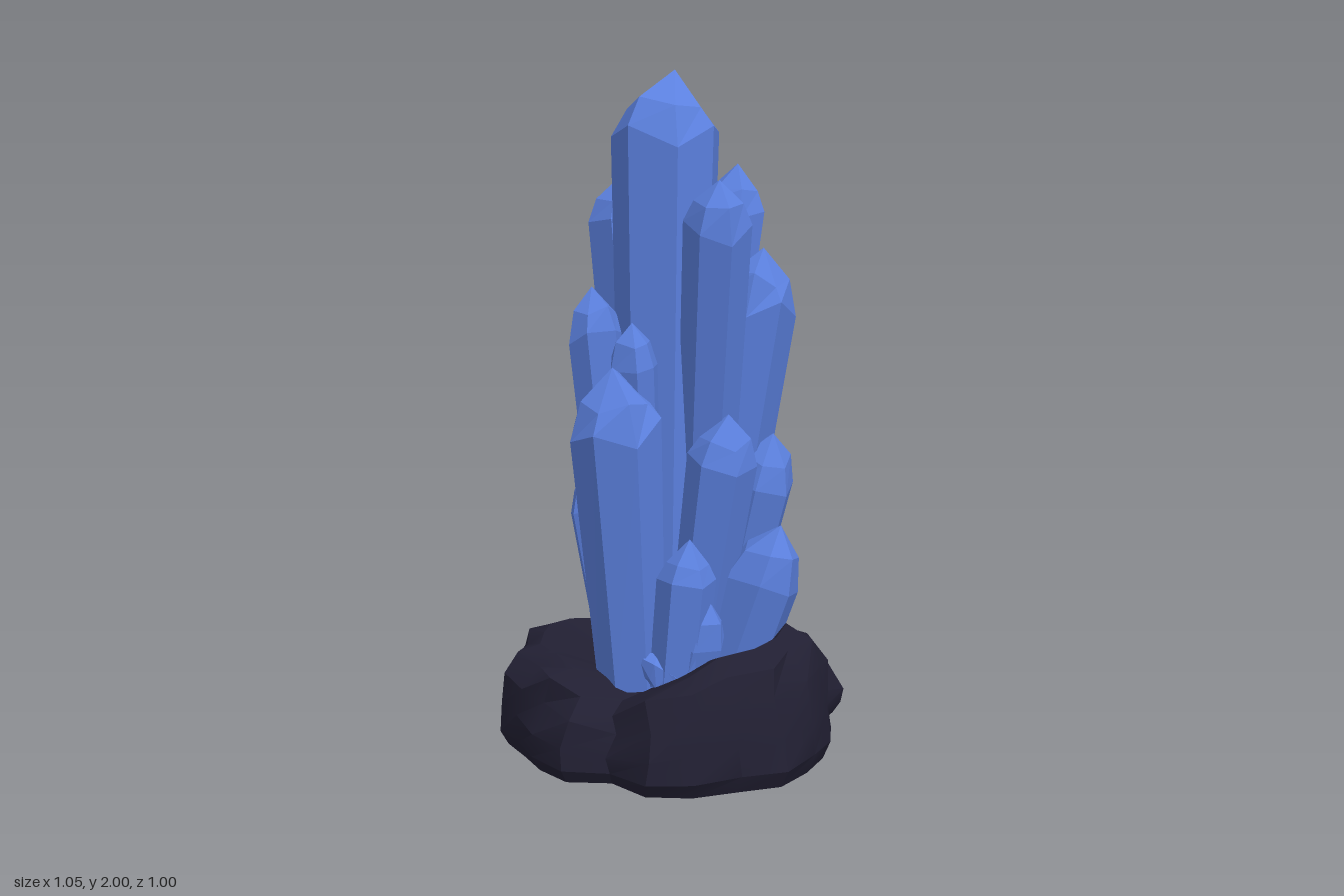
import * as THREE from 'three';
import { toCreasedNormals } from 'three/addons/utils/BufferGeometryUtils.js';

// Small seeded random in -1..1
function seeded(seed) {
  let s = seed * 7919 + 13;
  return () => {
    s = (s * 16807) % 2147483647;
    return (s / 2147483647) * 2 - 1;
  };
}

// Skin a stack of closed rings (counterclockwise about the stacking direction), closed by two end points
function loft(rings, start, end) {
  const pos = [];
  const tri = (a, b, c) => pos.push(...a.toArray(), ...b.toArray(), ...c.toArray());
  const n = rings[0].length;
  const last = rings[rings.length - 1];
  for (let i = 0; i < n; i++) {
    const j = (i + 1) % n;
    tri(start, rings[0][j], rings[0][i]);
    for (let k = 0; k + 1 < rings.length; k++) {
      const [p, q] = [rings[k], rings[k + 1]];
      tri(p[i], p[j], q[j]);
      tri(p[i], q[j], q[i]);
    }
    tri(last[i], last[j], end);
  }
  const g = new THREE.BufferGeometry();
  g.setAttribute('position', new THREE.Float32BufferAttribute(pos, 3));
  g.computeVertexNormals();
  return g;
}

// Tapered prism from base to tip, with an uneven shoulder and a faceted point; lean shifts the point in z
function crystalGeometry(tip, r, base, lean, seed) {
  const rnd = seeded(seed);
  const start = new THREE.Vector3(base[0], 0.23, base[1]);
  const end = new THREE.Vector3(...tip);
  const axis = end.clone().sub(start);
  const length = axis.length();
  axis.normalize();
  const u = new THREE.Vector3(1, 0, 0).addScaledVector(axis, -axis.x).normalize();
  const v = new THREE.Vector3().crossVectors(axis, u);
  const sides = r > 0.11 ? 7 : 6;
  const cap = 0.06 + r * 0.85;
  const taper = length < 0.6 ? 0.95 : 0.76;
  const turn = rnd() * Math.PI;
  const angles = Array.from({ length: sides }, (_, i) => turn + (i + rnd() * 0.15) / sides * Math.PI * 2);
  const ring = (dist, radius, wobble) => angles.map(a => start.clone()
    .addScaledVector(axis, dist + rnd() * wobble)
    .addScaledVector(u, Math.cos(a) * radius)
    .addScaledVector(v, Math.sin(a) * radius));
  const rings = [
    ring(0, r * taper, 0),
    ring(length - cap, r, cap * 0.2),
    ring(length - cap * 0.52, r * 0.72, cap * 0.12),
  ];
  end.z += lean;
  return loft(rings, start, end);
}

// Rock outline radius and rim height every 15 degrees, from +x towards +z
const OUTLINE = [
  [.52, .39], [.53, .39], [.55, .37], [.52, .36], [.53, .32], [.52, .27], [.44, .21], [.5, .26],
  [.49, .29], [.48, .3], [.51, .31], [.51, .31], [.53, .31], [.52, .3], [.5, .28], [.48, .26],
  [.48, .25], [.49, .24], [.49, .24], [.48, .23], [.56, .21], [.6, .22], [.47, .28], [.5, .36]];

function rockGeometry() {
  const rnd = seeded(5);
  const n = OUTLINE.length;
  // [outline scale, rim height fraction, blend to the inner hollow, roughness]
  const levels = [[.95, 0, 0, 0], [1, .15, 0, .006], [.99, .4, 0, .014], [.95, .7, 0, .018],
    [.87, .92, 0, .016], [.75, 1, 0, .014], [.58, 1, .3, .014], [.3, .95, .9, .01]];
  const rings = levels.map(([s, h, blend, rough]) => Array.from({ length: n }, (_, i) => {
    const k = (n - i) % n;
    const [radius, rim] = OUTLINE[k];
    const a = k / n * Math.PI * 2 + rnd() * rough * 2;
    const r = radius * s + rnd() * rough - rough * 0.3;
    const y = THREE.MathUtils.lerp(rim * h, 0.22, blend) + rnd() * rough * 0.7;
    return new THREE.Vector3(Math.cos(a) * r, y, Math.sin(a) * r);
  }));
  return toCreasedNormals(loft(rings, new THREE.Vector3(), new THREE.Vector3(0, 0.22, 0)), 0.5);
}

// name, tip, radius, base x and z, lean of the point
const CRYSTALS = [
  ['mainCrystal', [.01, 2, .02], .165, [0, .03], -.05],
  ['frontCrystal', [-.045, 1.17, .3], .135, [-.04, .18]],
  ['frontInnerCrystal', [-.015, 1.29, .23], .073, [-.02, .1]],
  ['tallLeftCrystal', [.235, 1.69, .2], .097, [.07, -.07]],
  ['tallRightCrystal', [-.2, 1.69, -.105], .104, [-.06, -.04]],
  ['tallBackCrystal', [.115, 1.73, -.28], .1, [-.01, -.11]],
  ['wideLeftCrystal', [.265, 1.49, -.09], .123, [.08, -.09]],
  ['rightFrontCrystal', [-.185, 1.38, .13], .088, [-.11, .05]],
  ['lowRightCrystal', [-.245, 1.07, -.085], .11, [-.1, -.07]],
  ['lowBackCrystal', [-.065, .98, -.27], .09, [-.04, -.13]],
  ['shortBackCrystal', [.065, .73, -.285], .105, [.05, -.23]],
  ['lowLeftFrontCrystal', [.24, 1.03, .13], .102, [.11, .08]],
  ['lowLeftCrystal', [.31, .95, -.06], .1, [.14, -.08]],
  ['shortLeftCrystal', [.37, .7, .04], .115, [.21, .04]],
  ['shortFrontCrystal', [.16, .68, .225], .085, [.11, .2]],
  ['smallFrontCrystal', [.21, .5, .2], .075, [.14, .18]],
  ['lowRightFrontCrystal', [-.195, .86, .14], .075, [-.11, .11]],
  ['frontStub', [.01, .33, .26], .065, [.15, .2]],
];

export function createModel() {
  const crystalMat = new THREE.MeshStandardMaterial({ color: 0x5b80de });
  crystalMat.name = 'crystalBlue';
  const rockMat = new THREE.MeshStandardMaterial({ color: 0x211f32 });
  rockMat.name = 'darkRock';

  const model = new THREE.Group();
  model.name = 'crystalCluster';

  const rock = new THREE.Mesh(rockGeometry(), rockMat);
  rock.name = 'rockBase';
  model.add(rock);

  CRYSTALS.forEach(([name, tip, radius, base, lean = 0], i) => {
    const crystal = new THREE.Mesh(crystalGeometry(tip, radius, base, lean, i + 3), crystalMat);
    crystal.name = name;
    model.add(crystal);
  });
  return model;
}
